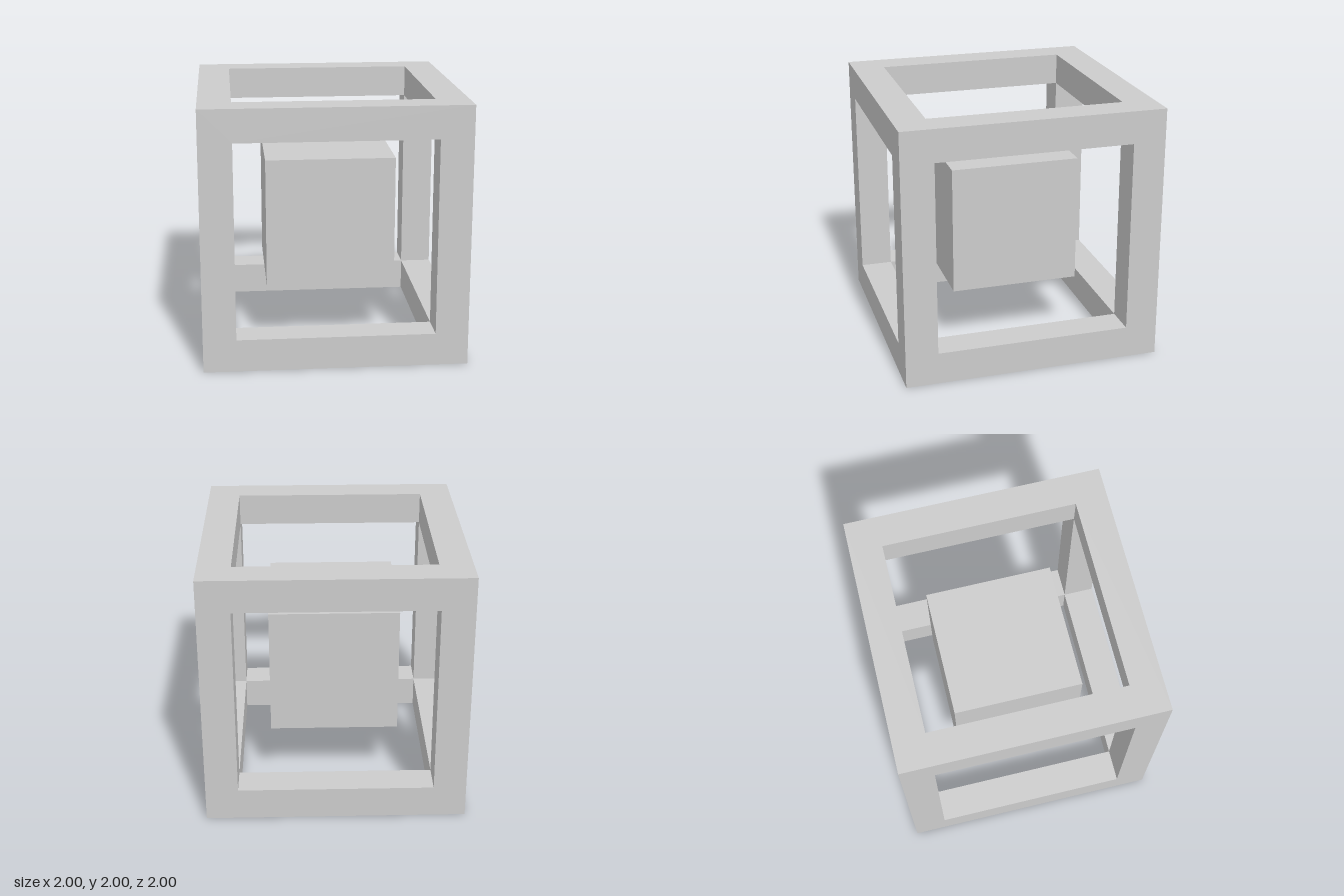
import * as THREE from 'three';
import { mergeGeometries } from 'three/addons/utils/BufferGeometryUtils.js';

const HALF = 1;        // half the outer cube
const BAR = 0.25;      // thickness of the frame bars
const OPEN = HALF - BAR; // half the window opening
const CORE = 1;        // edge of the inner cube

function square(path, h) {
  path.moveTo(-h, -h);
  path.lineTo(h, -h);
  path.lineTo(h, h);
  path.lineTo(-h, h);
  path.closePath();
  return path;
}

// One side of the frame, facing +z: a square ring plus the four walls of its window.
// Six of these close up into a seamless set of twelve bars.
function sideGeometry() {
  const ring = square(new THREE.Shape(), HALF);
  ring.holes.push(square(new THREE.Path(), OPEN));
  const parts = [new THREE.ShapeGeometry(ring).translate(0, 0, HALF)];
  for (let i = 0; i < 4; i++) {
    parts.push(
      new THREE.PlaneGeometry(2 * OPEN, BAR)
        .rotateX(-Math.PI / 2)
        .translate(0, -OPEN, HALF - BAR / 2)
        .rotateZ((i * Math.PI) / 2)
    );
  }
  return mergeGeometries(parts);
}

export function createModel() {
  const model = new THREE.Group();
  model.name = 'framedCube';
  const material = new THREE.MeshStandardMaterial({ color: 0xcccccc });

  // Open cubic frame
  const frame = new THREE.Group();
  frame.name = 'outerFrame';
  frame.position.y = HALF;
  const side = sideGeometry();
  const q = Math.PI / 2;
  const sides = {
    frontSide: [0, 0],
    leftSide: [0, q],
    backSide: [0, 2 * q],
    rightSide: [0, -q],
    topSide: [-q, 0],
    bottomSide: [q, 0],
  };
  for (const [name, [rx, ry]] of Object.entries(sides)) {
    const mesh = new THREE.Mesh(side, material);
    mesh.name = name;
    mesh.rotation.set(rx, ry, 0);
    frame.add(mesh);
  }
  model.add(frame);

  // Solid cube floating in the middle
  const core = new THREE.Mesh(new THREE.BoxGeometry(CORE, CORE, CORE), material);
  core.name = 'innerCube';
  core.position.y = HALF;
  model.add(core);

  return model;
}
